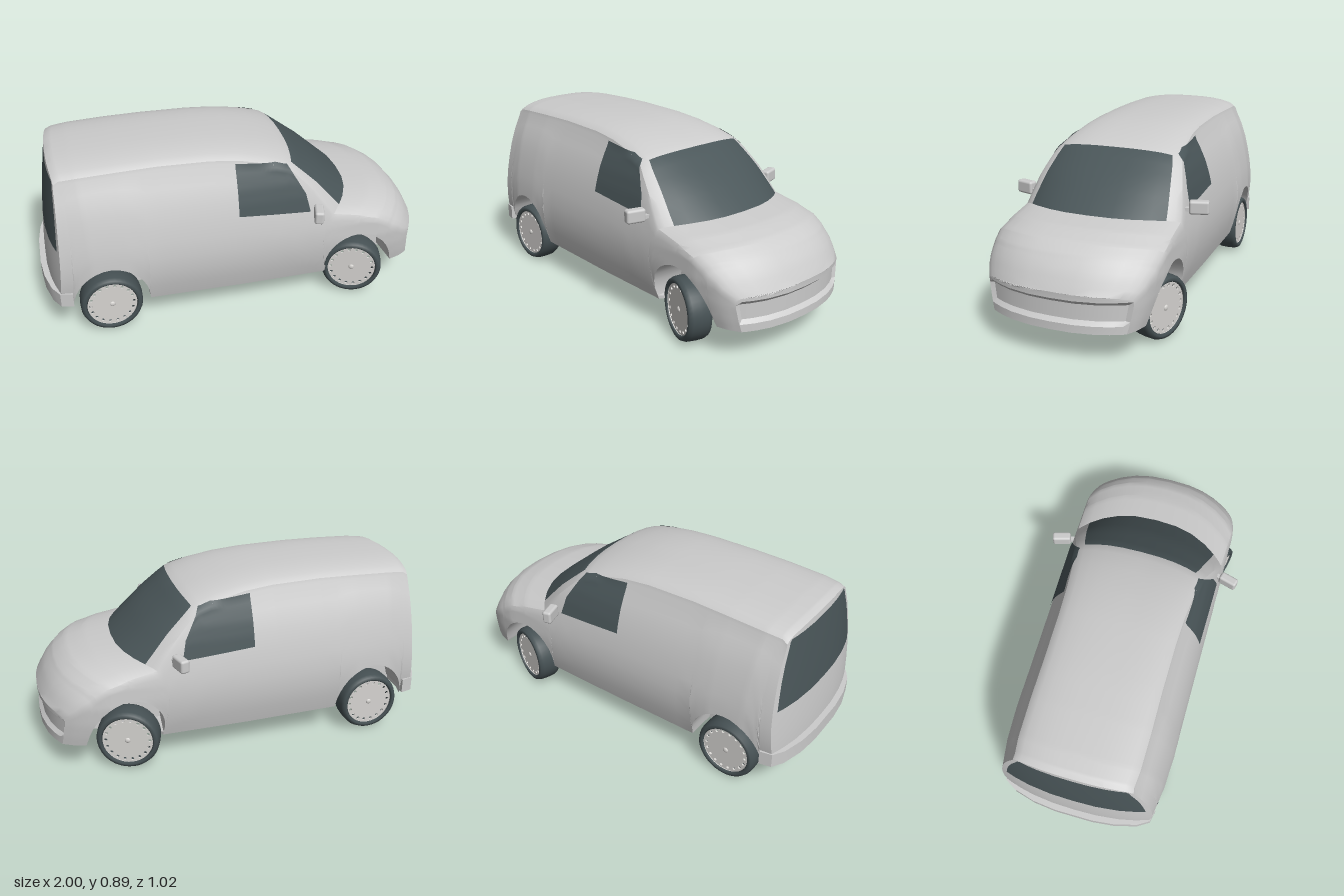
import * as THREE from 'three';
import { toCreasedNormals } from 'three/addons/utils/BufferGeometryUtils.js';
import { RoundedBoxGeometry } from 'three/addons/geometries/RoundedBoxGeometry.js';

const mat = (name, color, side = THREE.FrontSide) => {
  const m = new THREE.MeshStandardMaterial({ color, side });
  m.name = name;
  return m;
};

// Piecewise linear lookup
const table = (pts) => (v) => {
  if (v <= pts[0][0]) return pts[0][1];
  for (let i = 1; i < pts.length; i++) {
    const [a, p] = pts[i - 1], [b, q] = pts[i];
    if (v <= b) return p + (q - p) * (v - a) / (b - a);
  }
  return pts[pts.length - 1][1];
};

// Body rules along the length s: roof line, shoulder depth, width scale, end bow, sill height
const topPts = [[-0.97, 0.855], [-0.93, 0.87], [-0.8, 0.878], [-0.6, 0.886], [-0.4, 0.89], [-0.15, 0.885], [0, 0.872],
  [0.15, 0.845], [0.24, 0.82], [0.285, 0.803], [0.45, 0.685], [0.61, 0.55], [0.75, 0.535], [0.85, 0.508],
  [0.9, 0.475], [0.95, 0.42], [0.985, 0.36], [1, 0.33]];
const top = table(topPts);
const drop = table([[0.285, 0.06], [0.61, 0.045], [0.8, 0.07], [0.92, 0.065], [1, 0.03]]);
const widthScale = table([[-0.97, 0.93], [-0.8, 0.98], [-0.6, 1], [0.86, 1], [0.93, 0.965], [0.97, 0.92], [1, 0.85]]);
const bow = table([[-0.97, -0.07], [-0.5, 0], [-0.1, 0], [0.285, 0.07], [0.61, 0.17], [1, 0.146]]);
const sill = table([[-0.97, 0.185], [-0.85, 0.165], [-0.5, 0.155], [0, 0.148], [1, 0.152]]);
const sideWidth = table([[0.15, 0.385], [0.2, 0.4], [0.27, 0.415], [0.36, 0.424], [0.45, 0.42], [0.55, 0.402],
  [0.63, 0.383], [0.7, 0.36], [0.76, 0.332], [0.83, 0.295]]);

const bodyX = (s, z, y) => {
  let x = s;
  if (s < -0.8) { // leaning tail
    const end = -0.97 + 0.065 * Math.pow(Math.max(0, (y - 0.26) / 0.6), 1.5);
    x = -0.8 + (s + 0.8) * (end + 0.8) / -0.17;
  }
  return x - bow(s) * Math.pow(Math.abs(z) / 0.42, 2.5);
};
const sideX = (s) => bodyX(s, 0.41 * widthScale(s), 0.25);

// Wheel arches
const ARCHES = [-0.67, 0.605], ARCH_W = 0.187, ARCH_H = 0.215, ARCH_Y = 0.168;
const archY = (s) => {
  for (const c of ARCHES) {
    const u = (sideX(s) - c) / ARCH_W;
    if (Math.abs(u) <= 1.0001) return ARCH_Y + ARCH_H * Math.sqrt(Math.max(0, 1 - u * u));
  }
  return sill(s);
};

const SIDE = 8, CROWN = [12, 24, 35, 50, 65, 78, 90];

// Half cross-section: floor, wheel well, side, roof crown
function section(s) {
  const yb = sill(s), ya = archY(s), h = top(s), d = drop(s), k = widthScale(s), ysh = h - d;
  const inArch = ya > yb + 1e-4, pts = [];
  const add = (z, y, x = bodyX(s, z, y)) => pts.push([x, y, z]);
  const wellX = inArch ? sideX(s) : undefined;
  add(0, yb, wellX);
  add(0.235, yb, wellX);
  add(0.235, ya, wellX);
  for (let i = 0; i <= SIDE; i++) {
    const y = ya + (ysh - ya) * i / SIDE;
    add(sideWidth(y) * k, y);
  }
  for (const deg of CROWN) {
    const a = deg * Math.PI / 180;
    add(deg === 90 ? 0 : sideWidth(ysh) * k * Math.pow(Math.cos(a), 0.8), ysh + d * Math.pow(Math.sin(a), 0.8));
  }
  return pts;
}

function stations() {
  const list = topPts.map((p) => p[0]).concat([-0.88, 0.08, 0.34, 0.4, 0.5, 0.56, 0.97]);
  for (const c of ARCHES) {
    for (let i = -1; i <= 17; i++) {
      const u = i < 0 ? -1.01 : i > 16 ? 1.01 : -Math.cos(Math.PI * i / 16);
      const x = c + ARCH_W * u;
      let s = x;
      for (let n = 0; n < 40; n++) s += x - sideX(s);
      list.push(s);
    }
  }
  return list.sort((a, b) => a - b).filter((s, i, l) => i === 0 || s - l[i - 1] > 5e-4);
}

function bodyGeometry() {
  const paint = [], glass = [];
  const tri = (out, a, b, c) => {
    const [A, B, C] = [a, b, c].map((p) => new THREE.Vector3(...p));
    if (B.sub(A).cross(C.sub(A)).length() > 1e-9) out.push(...a, ...b, ...c);
  };
  const quad = (out, a, b, c, d, flip) => {
    if (flip) [b, d] = [d, b];
    tri(out, a, b, c);
    tri(out, a, c, d);
  };
  const ss = stations(), rings = ss.map(section), rows = rings[0].length;
  for (const side of [1, -1]) {
    const m = ([x, y, z]) => [x, y, z * side];
    for (let i = 0; i < rings.length - 1; i++) {
      const screen = ss[i] >= 0.284 && ss[i + 1] <= 0.611;
      for (let j = 0; j < rows - 1; j++) {
        quad(screen && j >= 14 ? glass : paint, m(rings[i][j]), m(rings[i + 1][j]),
          m(rings[i + 1][j + 1]), m(rings[i][j + 1]), side < 0);
      }
    }
  }
  // Bowed nose with recessed bumper grille, and tail with rear window
  const cols = [1, 0.93, 0.8, 0.6, 0.3, 0, -0.3, -0.6, -0.8, -0.93, -1];
  for (const [s, ring, front] of [[1, rings[rings.length - 1], true], [-0.97, rings[0], false]]) {
    const at = (j, c) => {
      const [, y, w] = ring[j], z = w * cols[c];
      const recess = front && j >= 6 && j <= 10 && Math.abs(cols[c]) < 0.95 ? 0.018 : 0;
      return [bodyX(s, z, y) - recess, y, z];
    };
    for (let j = 3; j < rows - 1; j++) {
      for (let c = 0; c < cols.length - 1; c++) {
        const pane = !front && j >= 7 && j <= 12 && c > 0 && c < cols.length - 2;
        quad(pane ? glass : paint, at(j, c), at(j, c + 1), at(j + 1, c + 1), at(j + 1, c), !front);
      }
    }
  }
  const g = new THREE.BufferGeometry();
  g.setAttribute('position', new THREE.Float32BufferAttribute(paint.concat(glass), 3));
  g.addGroup(0, paint.length / 3, 0);
  g.addGroup(paint.length / 3, glass.length / 3, 1);
  return toCreasedNormals(g, 0.5);
}

// Half-width of the body skin at a given x and y
function skinZ(x, y) {
  let z = 0.35;
  for (let n = 0; n < 12; n++) {
    const s = x + bow(x + 0.05) * Math.pow(z / 0.42, 2.5), d = drop(s), ysh = top(s) - d;
    const t = Math.min(1, Math.max(0, (y - ysh) / d));
    z = sideWidth(Math.min(y, ysh)) * Math.pow(1 - Math.pow(t, 2.5), 0.4);
  }
  return z;
}

// Door window plate following the skin
function doorWindow(side) {
  const upper = table([[-0.03, 0.82], [0.17, 0.803], [0.23, 0.785], [0.32, 0.63], [0.33, 0.56]]);
  const lower = table([[-0.03, 0.575], [0.15, 0.563], [0.33, 0.553]]);
  const g = new THREE.PlaneGeometry(1, 1, 18, 12), p = g.attributes.position;
  for (let i = 0; i < p.count; i++) {
    const x = -0.03 + 0.36 * (p.getX(i) + 0.5);
    const y = lower(x) + (upper(x) - lower(x)) * (p.getY(i) + 0.5);
    p.setXYZ(i, x, y, side * (skinZ(x, y) + 0.005));
  }
  g.computeVertexNormals();
  return g;
}

export function createModel() {
  const van = new THREE.Group();
  van.name = 'van';
  const paint = mat('bodyPaint', 0xcccccc);
  const glass = mat('darkGlass', 0x4a5659, THREE.DoubleSide);
  const rubber = mat('tyreRubber', 0x465154);
  const rimMetal = mat('rimMetal', 0xd6d4d1, THREE.DoubleSide);
  const add = (parent, name, geo, material, x = 0, y = 0, z = 0) => {
    const mesh = new THREE.Mesh(geo, material);
    mesh.name = name;
    mesh.position.set(x, y, z);
    parent.add(mesh);
    return mesh;
  };

  add(van, 'body', bodyGeometry(), [paint, glass]);

  // Rear bumper: plan outline raised to its height
  const half = [[-0.86, 0.402], [-0.92, 0.388], [-0.955, 0.33], [-0.985, 0.22], [-0.998, 0.1]];
  const outline = half.concat(half.map(([x, z]) => [x, -z]).reverse());
  const bumper = new THREE.ExtrudeGeometry(new THREE.Shape(outline.map(([x, z]) => new THREE.Vector2(x, z))),
    { depth: 0.075, bevelEnabled: false });
  bumper.rotateX(-Math.PI / 2);
  add(van, 'rearBumper', toCreasedNormals(bumper, 0.6), paint, 0, 0.185, 0);

  // Wheel pieces, axis along z with the outer face at +z
  const tyre = new THREE.LatheGeometry([[0.124, -0.052], [0.132, -0.06], [0.146, -0.056], [0.154, -0.038], [0.156, 0],
    [0.154, 0.038], [0.146, 0.056], [0.132, 0.06], [0.124, 0.052], [0.122, 0], [0.124, -0.052]]
    .map(([r, y]) => new THREE.Vector2(r, y)), 40).rotateX(Math.PI / 2);
  const barrel = new THREE.CylinderGeometry(0.123, 0.123, 0.1, 40, 1, true).rotateX(Math.PI / 2);
  const disc = new THREE.Shape().absarc(0, 0, 0.124, 0, Math.PI * 2);
  for (let i = 0; i < 18; i++) {
    const a = i * Math.PI / 9;
    disc.holes.push(new THREE.Path().absarc(0.108 * Math.cos(a), 0.108 * Math.sin(a), 0.008, 0, Math.PI * 2, true));
  }
  const cover = new THREE.ExtrudeGeometry(disc, { depth: 0.008, bevelEnabled: false, curveSegments: 20 });
  const hub = new THREE.SphereGeometry(0.014, 16, 8).scale(1, 1, 0.5);

  for (const side of [1, -1]) {
    const label = side > 0 ? 'left' : 'right';
    for (const [axle, x, z, steer] of [['Front', 0.6, 0.35, -0.33], ['Rear', -0.675, 0.345, 0]]) {
      const wheel = new THREE.Group();
      wheel.name = label + axle + 'Wheel';
      wheel.position.set(x, 0.156, z * side);
      wheel.rotation.y = steer + (side < 0 ? Math.PI : 0);
      add(wheel, 'tyre', tyre, rubber);
      add(wheel, 'rimBarrel', barrel, rimMetal);
      add(wheel, 'wheelCover', cover, rimMetal, 0, 0, 0.038);
      add(wheel, 'hub', hub, rimMetal, 0, 0, 0.046);
      van.add(wheel);
    }

    add(van, label + 'DoorWindow', doorWindow(side), glass);

    // Door mirror: swept-back housing on a short arm
    const mirror = new THREE.Group();
    mirror.name = label + 'Mirror';
    mirror.position.set(0.355, 0.57, 0.46 * side);
    mirror.rotation.y = -0.28 * side;
    add(mirror, 'mirrorHousing', new RoundedBoxGeometry(0.046, 0.066, 0.096, 3, 0.012), paint);
    add(mirror, 'mirrorArm', new THREE.BoxGeometry(0.022, 0.018, 0.07), paint, 0, -0.012, -0.06 * side);
    van.add(mirror);
  }
  return van;
}
